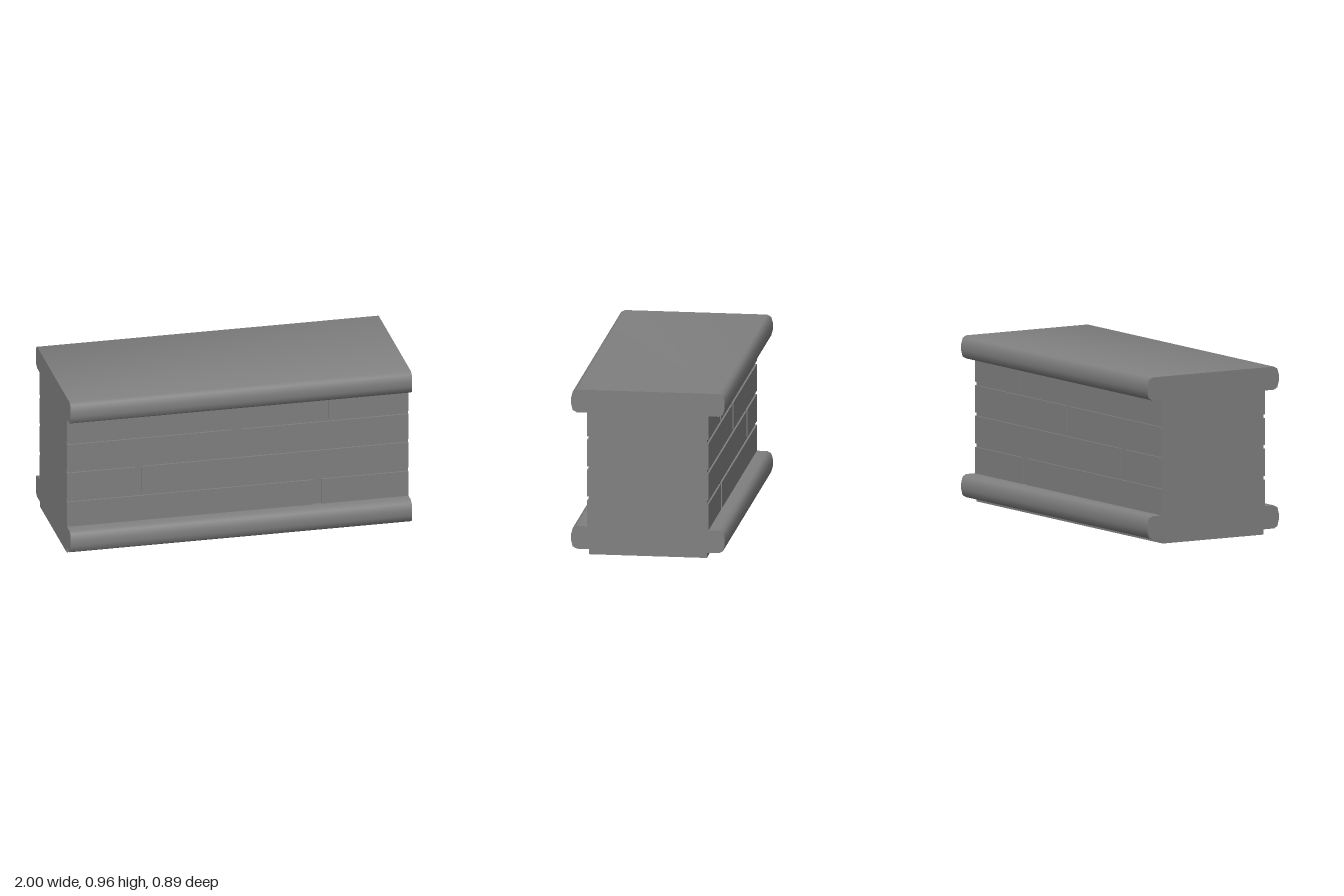
import * as THREE from 'three';
import { toCreasedNormals } from 'three/addons/utils/BufferGeometryUtils.js';

const CORE = 0.34; // half depth at the mortar
const FACE = 0.35; // half depth at the brick faces

// Rounded moulding outline on one side, from its underside at height y upwards
const moulding = (y) => [
  [0.41, 0], [0.433, 0.013], [0.443, 0.05], [0.443, 0.083], [0.433, 0.12], [0.41, 0.133],
].map(([z, h]) => new THREE.Vector2(z, y + h));

export function createModel() {
  const group = new THREE.Group();
  const stone = new THREE.MeshStandardMaterial({ color: 0x808080 });
  stone.name = 'grey stone';

  // Wall core with base and coping mouldings, one profile drawn along x
  const half = [
    new THREE.Vector2(CORE, 0), new THREE.Vector2(CORE, 0.03),
    ...moulding(0.03),
    new THREE.Vector2(CORE, 0.163), new THREE.Vector2(CORE, 0.83),
    ...moulding(0.83),
  ];
  const mirrored = half.map((p) => new THREE.Vector2(-p.x, p.y)).reverse();
  const coreGeometry = new THREE.ExtrudeGeometry(new THREE.Shape([...half, ...mirrored]), {
    depth: 2, bevelEnabled: false,
  });
  coreGeometry.translate(0, 0, -1).rotateY(Math.PI / 2);
  const core = new THREE.Mesh(toCreasedNormals(coreGeometry, THREE.MathUtils.degToRad(52)), stone);
  core.name = 'wallCore';
  group.add(core);

  // Brick courses: bottom, top, then the left and right edge of the upright joint
  const courses = [
    [0.163, 0.315, 0.445, 0.49],
    [0.337, 0.495, -0.605, -0.565],
    [0.515, 0.671, -0.025, 0.02],
    [0.691, 0.83, 0.49, 0.53],
  ];
  for (const side of [1, -1]) {
    const bricks = new THREE.Group();
    bricks.name = side > 0 ? 'frontBricks' : 'backBricks';
    for (const [y0, y1, jointStart, jointEnd] of courses) {
      for (const [x0, x1] of [[-1, jointStart], [jointEnd, 1]]) {
        const brick = new THREE.Mesh(new THREE.BoxGeometry(x1 - x0, y1 - y0, FACE - CORE), stone);
        brick.name = 'brick';
        brick.position.set((x0 + x1) / 2, (y0 + y1) / 2, side * (FACE + CORE) / 2);
        bricks.add(brick);
      }
    }
    group.add(bricks);
  }
  return group;
}
